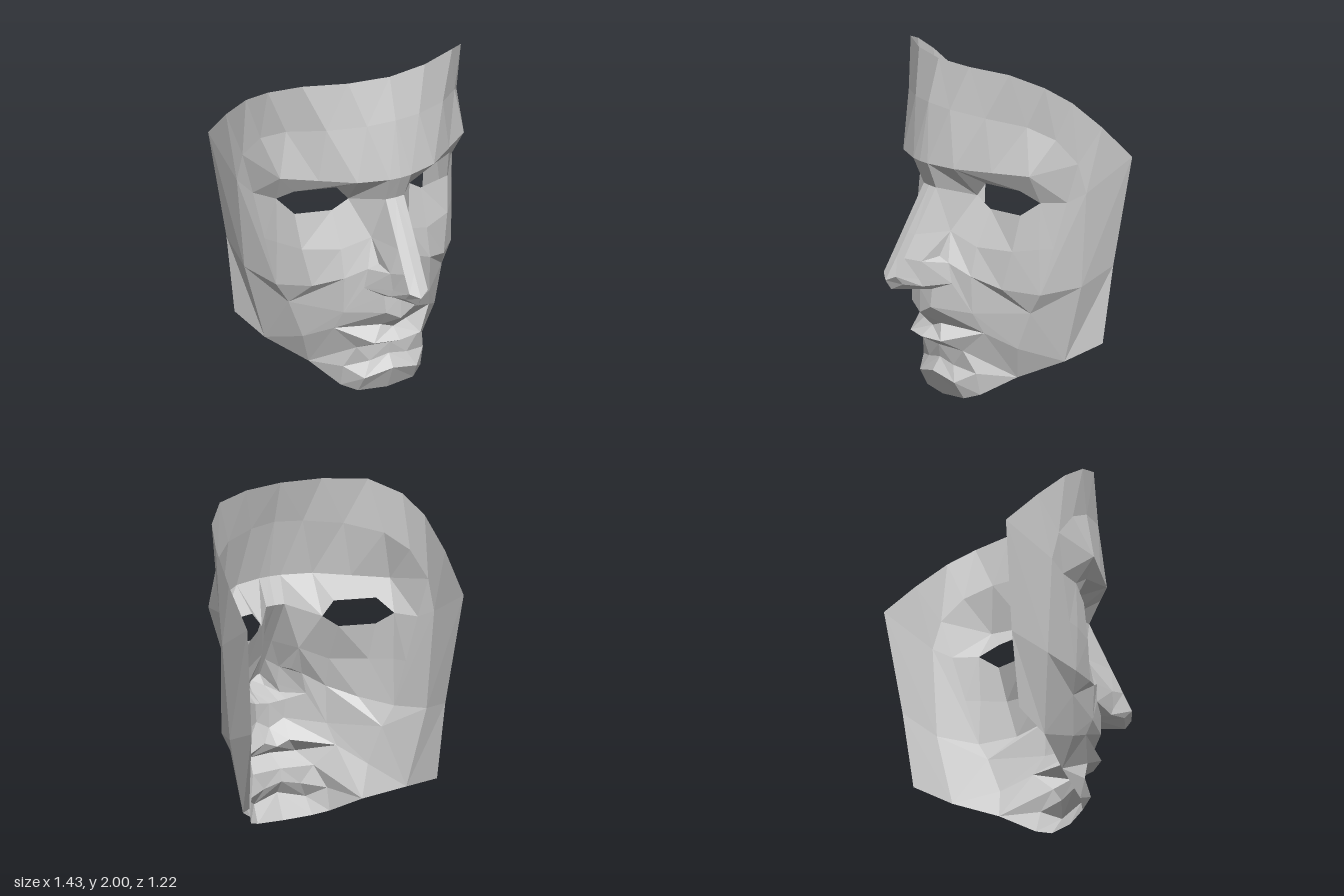
import * as THREE from 'three';

const material = new THREE.MeshStandardMaterial({ color: 0xcccccc, flatShading: true, side: THREE.DoubleSide });

// Skins neighbouring rows of points with quads and mirrors them to the other half.
// Rows run outwards from the centre line, ordered from top to bottom.
function loft(name, ...sheets) {
  const pos = [];
  const tri = (a, b, c) => {
    const u = new THREE.Vector3(...b).sub(new THREE.Vector3(...a));
    const v = new THREE.Vector3(...c).sub(new THREE.Vector3(...a));
    if (u.cross(v).length() < 1e-6) return; // repeated points make a triangle
    pos.push(...a, ...b, ...c);
    for (const p of [a, c, b]) pos.push(-p[0], p[1], p[2]);
  };
  for (const rows of sheets) {
    for (let i = 0; i + 1 < rows.length; i++) {
      for (let j = 0; j + 1 < rows[i].length; j++) {
        const a = rows[i][j], b = rows[i][j + 1], c = rows[i + 1][j + 1], d = rows[i + 1][j];
        tri(a, d, c);
        tri(a, c, b);
      }
    }
  }
  const geometry = new THREE.BufferGeometry();
  geometry.setAttribute('position', new THREE.Float32BufferAttribute(pos, 3));
  geometry.computeVertexNormals();
  const mesh = new THREE.Mesh(geometry, material);
  mesh.name = name;
  return mesh;
}

export function createModel() {
  const mask = new THREE.Group();
  mask.name = 'mask';

  // Landmarks shared by neighbouring parts (left half)
  const brow = [[0, 1.41, 0.37], [0.07, 1.41, 0.365], [0.25, 1.41, 0.31], [0.425, 1.405, 0.17], [0.6, 1.4, 0.03]];
  const temple = [0.65, 1.22, -0.2];
  const eyeInner = [0.2, 1.21, 0.11], eyeOuter = [0.57, 1.22, -0.07];
  const bridge = [0.06, 1.255, 0.3], bridgeMid = [0, 1.255, 0.305];
  const noseFoot = [0.12, 1.0, 0.24], wingBack = [0.11, 0.86, 0.31];
  const wingFront = [0.1, 0.845, 0.43], wingSide = [0.17, 0.83, 0.29], wingLow = [0.09, 0.74, 0.44];
  const tip = [0, 0.74, 0.61], tipSide = [0.06, 0.77, 0.58];
  const fold = [0.19, 0.71, 0.28], lipFold = [0.28, 0.54, 0.2], mouthCorner = [0.31, 0.42, 0.14];
  const cheekIn = [0.28, 0.76, 0.21], cheekbone = [0.43, 0.7, 0.1], cheekOut = [0.57, 0.67, -0.07];
  const hollow = [0.5, 0.55, -0.05];
  const jawMid = [0.43, 0.33, -0.01], jawEdge = [0.54, 0.24, -0.26], jawFront = [0.37, 0.14, -0.05];
  const underLip = [0.2, 0.3, 0.21], chinCorner = [0.26, 0.17, 0.16], chinEdge = [0.26, 0.04, 0.13];

  // Forehead: rim, middle ring, brow line
  const rim = [[0, 2, 0.24], [0.25, 2, 0.2], [0.49, 1.99, 0.09], [0.63, 1.92, -0.06],
    [0.69, 1.82, -0.21], [0.715, 1.65, -0.4], [0.715, 1.44, -0.61], [0.64, 0.79, -0.53], [0.62, 0.33, -0.47]];
  const ring = [[0, 1.75, 0.31], [0.17, 1.74, 0.28], [0.38, 1.72, 0.18], [0.55, 1.68, 0.01],
    [0.64, 1.6, -0.13], [0.69, 1.45, -0.25], [0.7, 1.27, -0.3], [0.65, 0.7, -0.3], jawEdge];
  const inner = [...brow, brow[4], temple, cheekOut, hollow];
  mask.add(loft('forehead', [rim, ring, inner].map((r) => r.slice(0, 6))));
  mask.add(loft('sideOfFace', [rim, ring, inner].map((r) => r.slice(5))));

  // Underside of the brow down to the upper eye rim
  mask.add(loft('browUnderside', [
    [brow[0], brow[1], brow[2], brow[2], brow[4], temple],
    [bridgeMid, bridge, eyeInner, [0.27, 1.295, 0.1], [0.51, 1.295, 0.03], eyeOuter],
  ]));

  // Nose: ridge and flanks, then nostril wings, then the underside
  mask.add(loft('nose', [
    [bridgeMid, bridge, eyeInner],
    [[0, 1.0, 0.455], [0.06, 1.0, 0.447], noseFoot],
    [[0, 0.87, 0.53], [0.06, 0.87, 0.522], wingFront],
    [tip, tipSide, wingLow],
  ]));
  mask.add(loft('nostrilWing', [
    [noseFoot, noseFoot],
    [wingFront, wingBack],
    [wingFront, wingSide],
    [wingLow, fold],
  ]));
  mask.add(loft('noseUnderside', [
    [tip, tipSide, wingLow, fold],
    [[0, 0.68, 0.57], [0.06, 0.715, 0.53], [0.1, 0.695, 0.42], fold],
    [[0, 0.655, 0.37], [0.06, 0.66, 0.365], [0.1, 0.67, 0.355], fold],
  ]));

  // Cheek from the lower eye rim to the cheekbone, and the hollow beneath
  mask.add(loft('cheek', [
    [eyeInner, [0.29, 1.145, 0.08], [0.5, 1.145, 0.02], eyeOuter, temple],
    [noseFoot, [0.28, 0.93, 0.17], [0.475, 0.93, 0.06], [0.57, 0.945, -0.06], [0.61, 0.945, -0.135]],
    [wingSide, cheekIn, cheekbone, cheekOut, cheekOut],
  ], [[noseFoot, noseFoot], [wingBack, wingSide]]));
  mask.add(loft('cheekHollow', [
    [wingSide, cheekIn, cheekbone, cheekOut],
    [fold, lipFold, hollow, hollow],
  ]));

  // Mouth
  const lipTop = [[0, 0.51, 0.37], [0.09, 0.56, 0.36], lipFold];
  const lipLine = [[0, 0.42, 0.28], [0.08, 0.45, 0.28], mouthCorner];
  const lipBelow = [[0, 0.3, 0.24], underLip, mouthCorner];
  mask.add(loft('philtrum', [[[0, 0.655, 0.37], [0.1, 0.67, 0.355], fold], lipTop]));
  mask.add(loft('upperLip', [lipTop, lipLine]));
  mask.add(loft('lowerLip', [lipLine, [[0, 0.365, 0.36], [0.15, 0.365, 0.33], mouthCorner], lipBelow]));

  // Chin with its small ledge
  mask.add(loft('chin', [
    [lipBelow[0], underLip, underLip],
    [[0, 0.225, 0.23], [0.12, 0.2, 0.22], chinCorner],
    [[0, 0.15, 0.28], [0.17, 0.11, 0.25], chinCorner],
    [[0, 0, 0.21], [0.18, 0.01, 0.19], chinEdge],
  ]));

  // Jaw from the mouth corner out to the lower rim
  mask.add(loft('jaw',
    [[lipFold, hollow, hollow], [mouthCorner, jawMid, jawEdge], [jawFront, jawFront, jawFront]],
    [[underLip, mouthCorner], [chinCorner, jawFront], [chinEdge, jawFront]],
  ));

  return mask;
}
